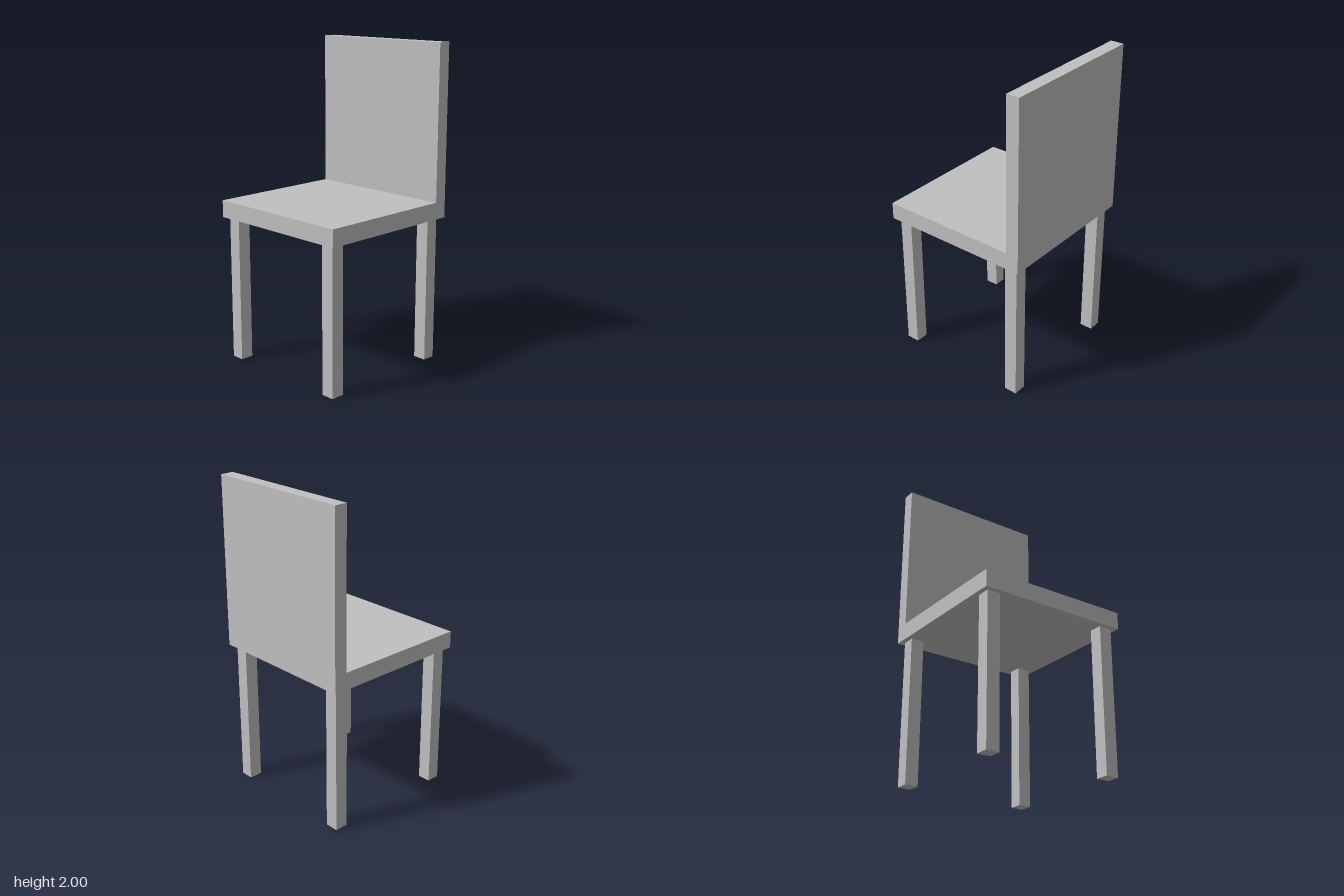
import * as THREE from 'three';

export function createModel() {
  const chair = new THREE.Group();
  chair.name = 'chair';
  const grey = new THREE.MeshStandardMaterial({ color: 0xc0c0c0 });
  grey.name = 'light grey';

  const half = 0.486; // half width and half depth
  const seatBottom = 0.923, seatTop = 1.03, backFront = -0.402;

  // Seat and backrest: one L-shaped side profile (z, y) swept across the width
  const profile = new THREE.Shape([
    [half, seatBottom], [half, seatTop], [backFront, seatTop],
    [backFront, 2], [-half, 2], [-half, seatBottom],
  ].map(([z, y]) => new THREE.Vector2(-z, y)));
  const seatGeometry = new THREE.ExtrudeGeometry(profile, { depth: 2 * half, bevelEnabled: false });
  seatGeometry.translate(0, 0, -half);
  seatGeometry.rotateY(Math.PI / 2);
  const seat = new THREE.Mesh(seatGeometry, grey);
  seat.name = 'seatAndBackrest';
  chair.add(seat);

  // Four square legs, set in from the seat edges
  const legGeometry = new THREE.BoxGeometry(0.084, seatBottom, 0.084);
  for (const [xName, x] of [['Left', 0.409], ['Right', -0.413]]) {
    for (const [zName, z] of [['front', 0.413], ['back', -0.409]]) {
      const leg = new THREE.Mesh(legGeometry, grey);
      leg.name = `${zName}${xName}Leg`;
      leg.position.set(x, seatBottom / 2, z);
      chair.add(leg);
    }
  }
  return chair;
}
